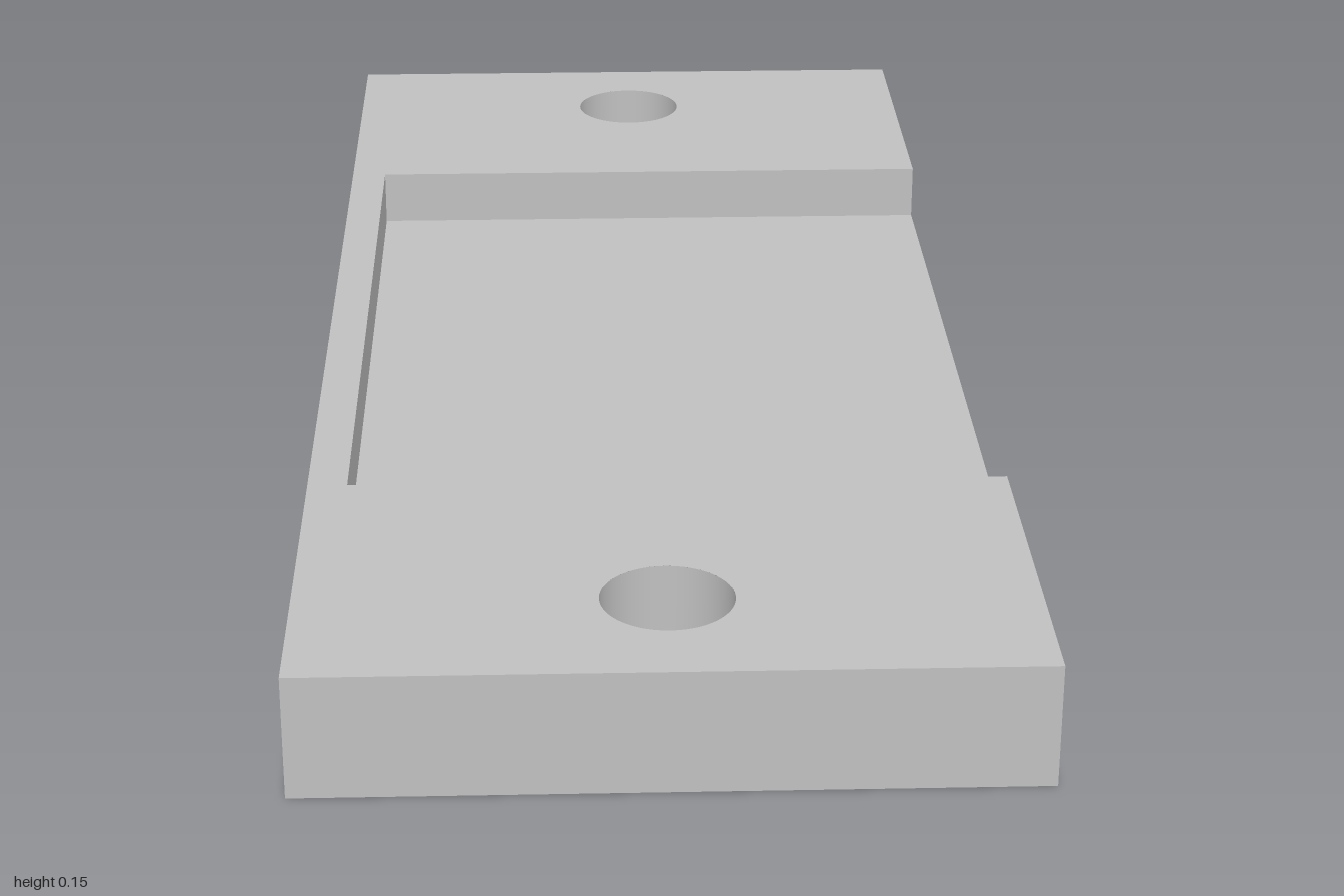
import * as THREE from 'three';

const HX = 0.423, HZ = 1, H = 0.15;               // plate half width, half length, height
const RX = -0.375, RZ = 0.532, FLOOR = 0.075;     // recess: closed end, half length, floor height
const HOLE_Z = 0.83, HOLE_R = 0.077, SEGMENTS = 64;

const polygon = (corners) => new THREE.Shape(corners.map(([x, z]) => new THREE.Vector2(x, z)));

function addHoles(shape) {
  for (const z of [-HOLE_Z, HOLE_Z]) {
    const hole = new THREE.Path();
    hole.absarc(0, z, HOLE_R, 0, Math.PI * 2, true);
    shape.holes.push(hole);
  }
  return shape;
}

// Flat horizontal face, facing up or down
function face(shape, y, up = true) {
  const g = new THREE.ShapeGeometry(shape, SEGMENTS);
  g.rotateX(up ? -Math.PI / 2 : Math.PI / 2);
  return g.translate(0, y, 0);
}

// Upright walls around an outline, without end caps
function walls(shape, y0, y1) {
  const g = new THREE.ExtrudeGeometry(shape, { depth: y1 - y0, bevelEnabled: false });
  const { start, count } = g.groups[1];
  const out = new THREE.BufferGeometry();
  for (const name of ['position', 'normal']) {
    const data = g.attributes[name].array.slice(start * 3, (start + count) * 3);
    out.setAttribute(name, new THREE.BufferAttribute(data, 3));
  }
  return out.rotateX(-Math.PI / 2).translate(0, y0, 0);
}

export function createModel() {
  const grey = new THREE.MeshStandardMaterial({ color: 0xc0c0c0 });
  grey.name = 'plain grey';
  const model = new THREE.Group();
  model.name = 'mountingPlate';
  const add = (name, geometry) => {
    const mesh = new THREE.Mesh(geometry, grey);
    mesh.name = name;
    model.add(mesh);
    return mesh;
  };

  const base = polygon([[-HX, -HZ], [HX, -HZ], [HX, HZ], [-HX, HZ]]);
  const rim = polygon([
    [-HX, -HZ], [HX, -HZ], [HX, -RZ], [RX, -RZ],
    [RX, RZ], [HX, RZ], [HX, HZ], [-HX, HZ],
  ]);
  const recess = polygon([[RX, -RZ], [HX, -RZ], [HX, RZ], [RX, RZ]]);

  // Solid lower half, and the raised rim open on the +x side
  add('baseWalls', walls(base, 0, FLOOR));
  add('rimWalls', walls(rim, FLOOR, H));
  add('recessFloor', face(recess, FLOOR));
  add('underside', face(addHoles(base), 0, false));
  add('rimTop', face(addHoles(rim), H));

  // Screw hole bores, facing inwards
  const bore = new THREE.LatheGeometry(
    [new THREE.Vector2(HOLE_R, H), new THREE.Vector2(HOLE_R, 0)], SEGMENTS);
  add('backHole', bore).position.z = -HOLE_Z;
  add('frontHole', bore).position.z = HOLE_Z;
  return model;
}
